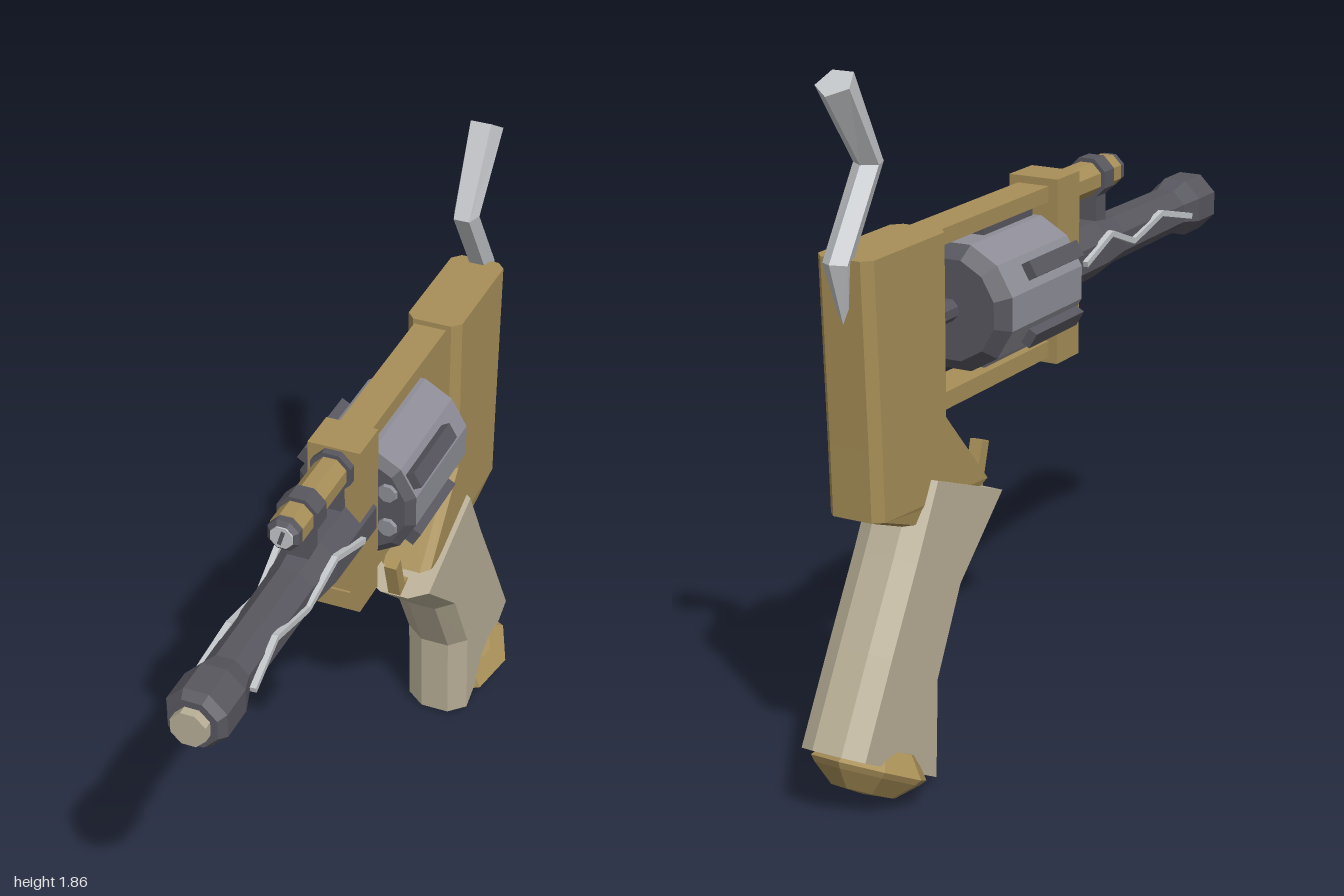
import * as THREE from 'three';

const paint = (name, color) => {
  const m = new THREE.MeshStandardMaterial({ color });
  m.name = name;
  return m;
};

export function createModel() {
  const model = new THREE.Group();
  model.name = 'revolver';
  const brass = paint('brass', 0xa88f58);
  const gunmetal = paint('gunmetal', 0x58575f);
  const drumGrey = paint('drumGrey', 0x8f8e98);
  const bone = paint('bone', 0xb9af97);
  const steel = paint('steel', 0xc3c6c9);

  // Adds a faceted mesh
  function add(name, geometry, material, parent = model) {
    const g = geometry.index ? geometry.toNonIndexed() : geometry;
    g.computeVertexNormals();
    const mesh = new THREE.Mesh(g, material);
    mesh.name = name;
    parent.add(mesh);
    return mesh;
  }
  function box(name, material, [x0, x1], [y0, y1], [z0, z1]) {
    const m = add(name, new THREE.BoxGeometry(x1 - x0, y1 - y0, z1 - z0), material);
    m.position.set((x0 + x1) / 2, (y0 + y1) / 2, (z0 + z1) / 2);
    return m;
  }
  // Turned part along z; profile is [z, radius] from back to front
  function turned(name, material, profile, y, sides, x = 0) {
    const pts = profile.map(([z, r]) => new THREE.Vector2(r, z));
    const m = add(name, new THREE.LatheGeometry(pts, sides, Math.PI / sides), material);
    m.rotation.x = Math.PI / 2;
    m.position.set(x, y, 0);
    return m;
  }
  // Straight bar between two points
  function bar(name, material, a, b, width, height) {
    const p = new THREE.Vector3(...a), q = new THREE.Vector3(...b);
    const m = add(name, new THREE.BoxGeometry(width, height, p.distanceTo(q)), material);
    m.position.copy(p).add(q).multiplyScalar(0.5);
    m.lookAt(q);
    return m;
  }
  // Closed skin over rings of equal point count, turned outward by its signed volume
  function loft(rings) {
    const n = rings[0].length, tris = [];
    for (let i = 0; i < rings.length - 1; i++)
      for (let j = 0; j < n; j++) {
        const k = (j + 1) % n;
        const a = rings[i][j], b = rings[i][k], c = rings[i + 1][k], d = rings[i + 1][j];
        tris.push([a, b, c], [a, c, d]);
      }
    const last = rings[rings.length - 1];
    for (let j = 1; j < n - 1; j++)
      tris.push([rings[0][0], rings[0][j + 1], rings[0][j]], [last[0], last[j], last[j + 1]]);
    const volume = tris.reduce((s, [a, b, c]) => s + a.dot(b.clone().cross(c)), 0);
    const pts = tris.flatMap(([a, b, c]) => (volume < 0 ? [a, c, b] : [a, b, c]));
    return new THREE.BufferGeometry().setFromPoints(pts);
  }
  // Eight-sided slab section between a front and a back point, both [z, y]
  function slab(front, back, half, flat, chamfer) {
    const f = new THREE.Vector3(0, front[1], front[0]);
    const b = new THREE.Vector3(0, back[1], back[0]);
    const t = chamfer / f.distanceTo(b);
    const at = (s, x) => f.clone().lerp(b, s).setX(x);
    return [at(0, flat), at(t, half), at(1 - t, half), at(1, flat),
      at(1, -flat), at(1 - t, -half), at(t, -half), at(0, -flat)];
  }

  // Barrel and muzzle
  turned('barrel', gunmetal, [[0.05, 0], [0.05, 0.087], [0.3, 0.083], [0.42, 0.069],
    [0.79, 0.066], [0.85, 0.086], [0.95, 0.086], [0.975, 0.07], [0.975, 0]], 1.187, 8);
  turned('muzzle', bone, [[0.96, 0], [0.96, 0.05], [1, 0.05], [1, 0]], 1.187, 8);

  // Zigzag inlay on both sides of the barrel
  const zigzag = [[0.075, 1.18, 0.8], [0.062, 1.22, 0.64], [0.066, 1.18, 0.46],
    [0.077, 1.235, 0.31], [0.085, 1.185, 0.15]];
  for (const side of [1, -1])
    for (let i = 0; i < 4; i++) {
      const [a, b] = [zigzag[i], zigzag[i + 1]].map(([x, y, z]) => [x * side, y, z]);
      bar('barrelInlay', steel, a, b, 0.016, 0.016);
    }

  // Frame around the drum
  box('frontFrame', brass, [-0.072, 0.072], [0.94, 1.44], [0.02, 0.14]);
  box('topRail', brass, [-0.046, 0.046], [1.378, 1.42], [-0.515, 0.03]);
  box('bottomRail', brass, [-0.046, 0.046], [0.955, 1.0], [-0.515, 0.147]);
  add('rearFrame', loft([
    slab([-0.53, 1.425], [-0.895, 1.425], 0.078, 0.055, 0.025),
    slab([-0.53, 0.955], [-0.872, 0.955], 0.078, 0.055, 0.025),
    slab([-0.33, 0.735], [-0.865, 0.77], 0.078, 0.055, 0.025),
    slab([-0.37, 0.715], [-0.72, 0.715], 0.07, 0.05, 0.025),
  ]), brass);

  // Drum with dark ends, ribs and chambers
  const axisY = 1.185;
  turned('drum', drumGrey, [[-0.375, 0.17], [-0.015, 0.17]], axisY, 12);
  turned('drumBack', gunmetal, [[-0.41, 0], [-0.41, 0.135], [-0.375, 0.17]], axisY, 12);
  turned('drumFront', gunmetal, [[-0.015, 0.17], [0.005, 0.145], [0.005, 0]], axisY, 12);
  turned('drumAxle', gunmetal, [[-0.54, 0], [-0.54, 0.03], [0.06, 0.03], [0.06, 0]], axisY, 8);
  for (let i = 0; i < 6; i++) {
    const a = Math.PI / 6 + i * Math.PI / 3, c = Math.cos(a), s = Math.sin(a);
    const rib = add('drumRib', new THREE.BoxGeometry(0.05, 0.045, 0.25), gunmetal);
    rib.position.set(c * 0.165, axisY + s * 0.165, -0.148);
    rib.rotation.z = a;
    turned('chamber', drumGrey, [[0, 0], [0, 0.03], [0.014, 0.025], [0.014, 0]],
      axisY + s * 0.108, 8, c * 0.108);
  }

  // Sight tube above the barrel
  const tubeY = 1.378;
  turned('sightTube', brass, [[0.13, 0], [0.13, 0.048], [0.43, 0.048], [0.43, 0]], tubeY, 8);
  turned('sightRim', gunmetal, [[0.425, 0.046], [0.45, 0.046], [0.46, 0.034], [0.452, 0]], tubeY, 8);
  turned('sightLens', steel, [[0.45, 0.036], [0.463, 0.032], [0.463, 0]], tubeY, 8);
  const mark = box('lensMark', gunmetal, [-0.005, 0.005], [tubeY - 0.02, tubeY + 0.02], [0.461, 0.466]);
  mark.rotation.z = -0.3;
  for (const [z0, z1] of [[0.312, 0.368], [0.138, 0.162]]) {
    turned('sightClamp', gunmetal, [[z0, 0], [z0, 0.06], [z1, 0.06], [z1, 0]], tubeY, 8);
    box('sightPost', gunmetal, [-0.03, 0.03], [1.22, 1.35], [z0, z1]);
  }

  // Grip and pommel
  add('grip', loft([
    slab([-0.276, 0.68], [-0.65, 0.822], 0.093, 0.042, 0.032),
    slab([-0.49, 0.49], [-0.75, 0.64], 0.093, 0.042, 0.032),
    slab([-0.605, 0.27], [-0.87, 0.434], 0.093, 0.042, 0.032),
    slab([-0.615, 0.007], [-0.998, 0.208], 0.093, 0.042, 0.032),
  ]), bone);
  const pommel = add('pommel', new THREE.LatheGeometry([[0, -0.04], [0.11, -0.04], [0.153, 0.015],
    [0.14, 0.03], [0.085, 0.075], [0, 0.082]].map(([r, y]) => new THREE.Vector2(r, y)), 8), brass);
  pommel.position.set(0, 0.11, -0.805);
  pommel.rotation.x = Math.atan2(-0.46, -0.885);

  // Trigger
  bar('trigger', brass, [0, 0.8, -0.262], [0, 0.68, -0.298], 0.036, 0.036);
  bar('triggerRoot', brass, [0, 0.69, -0.285], [0, 0.68, -0.4], 0.036, 0.036);

  // Bent hammer: [z, y, radius, ring tilt], from the foot up
  const hammerRows = [[-0.875, 1.26, 0.012, 0.2], [-0.905, 1.415, 0.037, 0.15],
    [-0.765, 1.63, 0.038, 0], [-0.9, 1.842, 0.05, -0.56]];
  add('hammer', loft(hammerRows.map(([z, y, r, tilt]) =>
    Array.from({ length: 5 }, (_, i) => {
      const a = i * Math.PI * 0.4 + Math.PI;
      const d = Math.cos(a) * r;
      return new THREE.Vector3(Math.sin(a) * r, y - Math.sin(tilt) * d, z + Math.cos(tilt) * d);
    }))), steel);

  return model;
}
